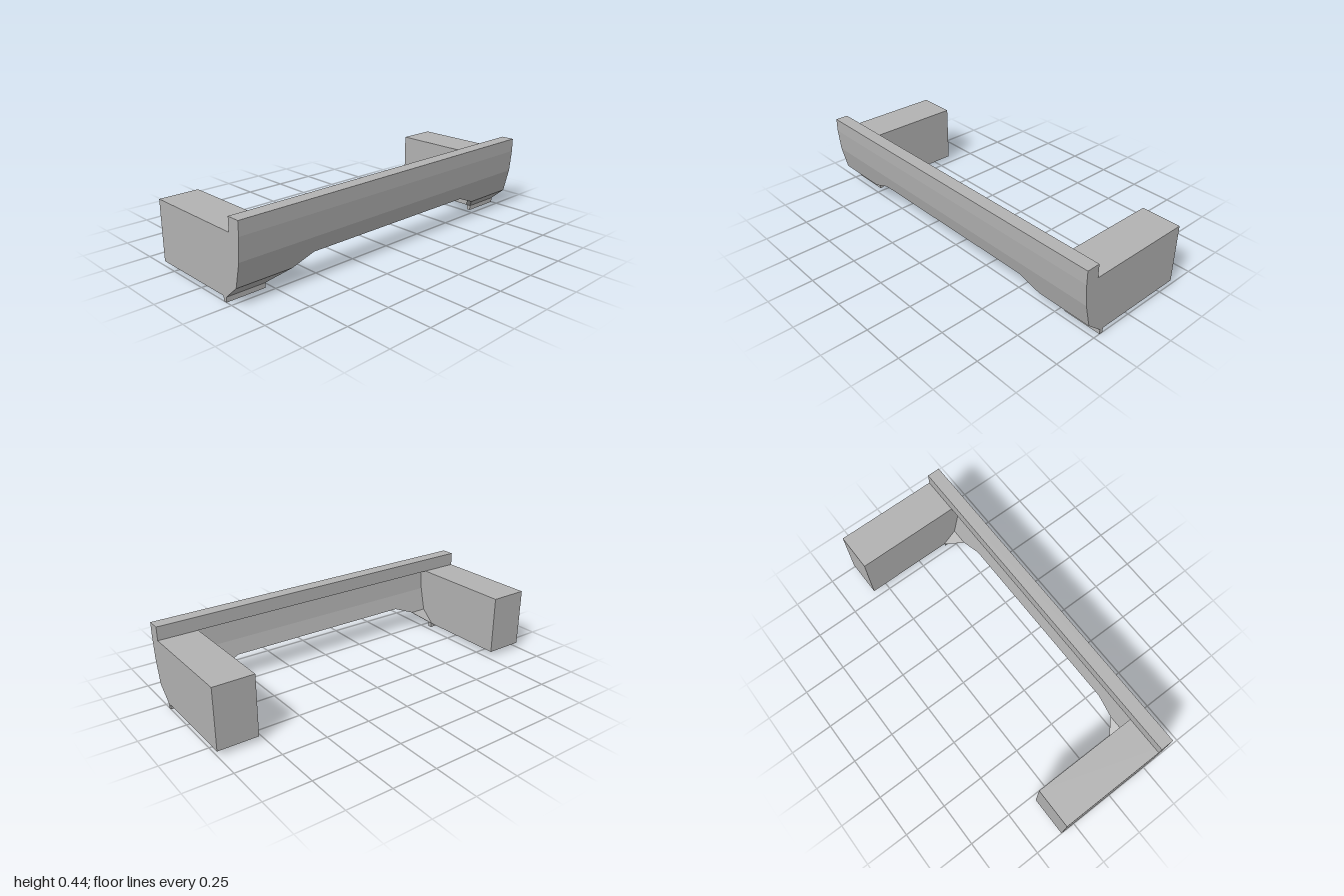
import * as THREE from 'three';

// Outer face profile as [y, z], from top to bottom
const PROFILE = [[0.36, 0.338], [0.235, 0.327], [0.15, 0.307], [0.1, 0.295], [0.027, 0.211]];
const WALL = 0.03;
const INNER_X = 0.78;

// Depth of the outer face at height y
function faceZ(y) {
  for (let i = 0; i < PROFILE.length - 1; i++) {
    const [y0, z0] = PROFILE[i], [y1, z1] = PROFILE[i + 1];
    if (y >= y1) return z0 + (z1 - z0) * (y0 - y) / (y0 - y1);
  }
  return PROFILE[PROFILE.length - 1][1];
}

// Curved wall lofted along x, its lower edge rising towards the middle
function wallGeometry() {
  const columns = [[-INNER_X, 0.027], [-0.68, 0.1], [-0.555, 0.15], [0.555, 0.15], [0.68, 0.1], [INNER_X, 0.027]];
  const rings = columns.map(([x, bottom]) => {
    const ys = PROFILE.map(([y]) => Math.max(y, bottom));
    const outer = ys.map(y => new THREE.Vector3(x, y, faceZ(y)));
    const inner = ys.map(y => new THREE.Vector3(x, y, faceZ(y) - WALL)).reverse();
    return [...outer, ...inner];
  });
  const positions = [];
  const addTriangle = (a, b, c) => {
    if (new THREE.Triangle(a, b, c).getArea() < 1e-7) return;
    for (const p of [a, b, c]) positions.push(p.x, p.y, p.z);
  };
  for (let i = 0; i < rings.length - 1; i++) {
    const n = rings[i].length;
    for (let j = 0; j < n; j++) {
      const k = (j + 1) % n;
      const a = rings[i][j], b = rings[i][k], c = rings[i + 1][k], d = rings[i + 1][j];
      addTriangle(a, b, c);
      addTriangle(a, c, d);
    }
  }
  const geometry = new THREE.BufferGeometry();
  geometry.setAttribute('position', new THREE.Float32BufferAttribute(positions, 3));
  geometry.computeVertexNormals();
  return geometry;
}

// Solid end block: the face profile closed by a straight back
function endBlockGeometry() {
  const shape = new THREE.Shape([
    ...PROFILE.map(([y, z]) => new THREE.Vector2(z, y)),
    new THREE.Vector2(-0.338, 0.027),
    new THREE.Vector2(-0.338, 0.36),
  ]);
  const geometry = new THREE.ExtrudeGeometry(shape, { depth: 1 - INNER_X, bevelEnabled: false });
  geometry.rotateY(-Math.PI / 2);
  return geometry.translate((1 - INNER_X) / 2, 0, 0);
}

export function createModel() {
  const group = new THREE.Group();
  group.name = 'bumper';
  const grey = new THREE.MeshStandardMaterial({ color: 0xb2b2b2 });
  grey.name = 'grey';

  const add = (name, geometry, x = 0, y = 0, z = 0) => {
    const mesh = new THREE.Mesh(geometry, grey);
    mesh.name = name;
    mesh.position.set(x, y, z);
    group.add(mesh);
  };

  // Full-width rail along the top and the curved wall beneath it
  add('topRail', new THREE.BoxGeometry(2, 0.075, 0.075), 0, 0.3975, 0.3005);
  add('frontWall', wallGeometry());

  // End blocks, each with a narrow strip under its front edge
  const block = endBlockGeometry();
  const strip = new THREE.BoxGeometry(1 - INNER_X, 0.027, 0.022);
  for (const [side, sign] of [['left', 1], ['right', -1]]) {
    const x = sign * (1 + INNER_X) / 2;
    add(side + 'EndBlock', block, x);
    add(side + 'LowerStrip', strip, x, 0.0135, 0.2);
  }
  return group;
}
